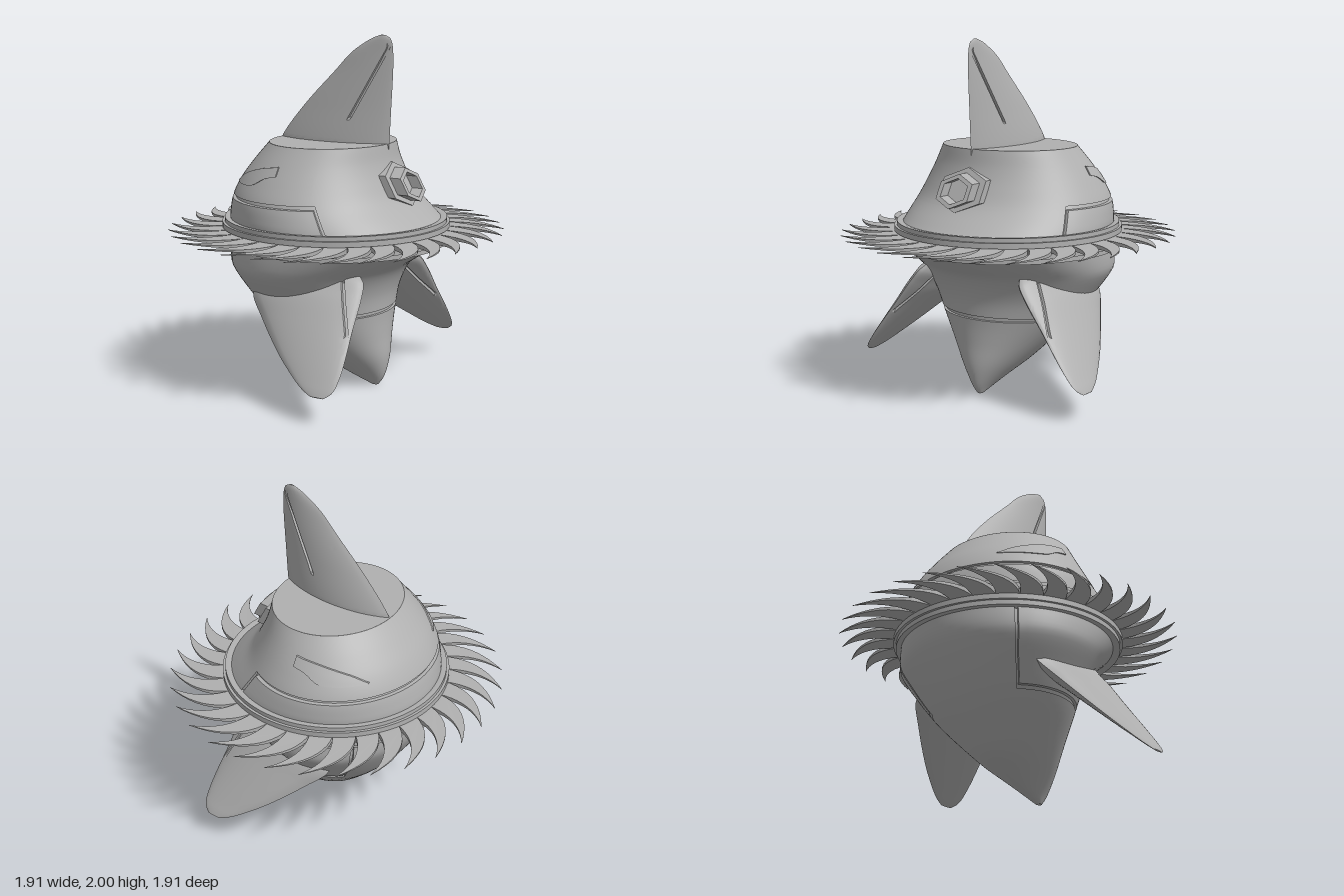
import * as THREE from 'three';
import { toCreasedNormals } from 'three/addons/utils/BufferGeometryUtils.js';

const metal = new THREE.MeshStandardMaterial({ color: 0xb0b0b0 });
metal.name = 'plain grey';

const clamp = THREE.MathUtils.clamp;
const lerp = THREE.MathUtils.lerp;

// Smooth lookup in a table whose first column is the key
function lookup(table, key, col) {
  const n = table.length;
  const k = clamp(key, table[0][0], table[n - 1][0]);
  let i = 0;
  while (i < n - 2 && k > table[i + 1][0]) i++;
  const slope = (j) => {
    const a = table[Math.max(j - 1, 0)], b = table[Math.min(j + 1, n - 1)];
    return (b[col] - a[col]) / (b[0] - a[0]);
  };
  const p = table[i], q = table[i + 1], h = q[0] - p[0], t = (k - p[0]) / h;
  const t2 = t * t, t3 = t2 * t;
  return (2 * t3 - 3 * t2 + 1) * p[col] + (t3 - 2 * t2 + t) * h * slope(i) +
    (3 * t2 - 2 * t3) * q[col] + (t3 - t2) * h * slope(i + 1);
}

// Skin over closed rings of [x, y, z], with both ends closed to a point
function loft(rings, crease = 0.6) {
  const middle = (r) => {
    const c = [0, 1, 2].map((k) => r.reduce((s, p) => s + p[k], 0) / r.length);
    return r.map(() => c);
  };
  const all = [middle(rings[0]), ...rings, middle(rings[rings.length - 1])];
  const n = rings[0].length, index = [];
  for (let i = 0; i < all.length - 1; i++) {
    for (let j = 0; j < n; j++) {
      const a = i * n + j, c = i * n + (j + 1) % n;
      if (i > 0) index.push(a, a + n, c);
      if (i < all.length - 2) index.push(c, a + n, c + n);
    }
  }
  const g = new THREE.BufferGeometry();
  g.setAttribute('position', new THREE.Float32BufferAttribute(all.flat(2), 3));
  g.setIndex(index);
  return toCreasedNormals(g, crease);
}

function part(parent, name, geometry) {
  const m = new THREE.Mesh(geometry, metal);
  m.name = name;
  parent.add(m);
  return m;
}

// Hull sections: height, least x, greatest x, half depth
const UPPER = [[0.95, -0.605, 0.62, 0.605], [1.0, -0.6, 0.56, 0.6], [1.1, -0.575, 0.45, 0.575],
  [1.2, -0.525, 0.39, 0.525], [1.3, -0.45, 0.35, 0.465], [1.4, -0.365, 0.33, 0.4]];
const LOWER = [[0, 0.24, 0.28, 0.015], [0.04, 0.13, 0.31, 0.045], [0.1, 0, 0.33, 0.1],
  [0.18, -0.15, 0.34, 0.18], [0.3, -0.28, 0.335, 0.29], [0.43, -0.4, 0.335, 0.4],
  [0.57, -0.5, 0.35, 0.495], [0.7, -0.575, 0.41, 0.585], [0.76, -0.595, 0.49, 0.6],
  [0.85, -0.605, 0.61, 0.605]];

function section(table, y) {
  const l = lookup(table, y, 1), r = lookup(table, y, 2);
  return { cx: (l + r) / 2, rx: (r - l) / 2, rz: lookup(table, y, 3) };
}

// Hull half with an engraved seam: a level run at seamY joined by a slanted run on each side
function hull(table, seamY, seamPath, towardBack) {
  const y0 = table[0][0], y1 = table[table.length - 1][0], ys = [];
  for (let i = 0; i <= 36; i++) {
    const y = lerp(y0, y1, i / 36);
    if (Math.abs(y - seamY) > 0.012) ys.push(y);
  }
  ys.push(seamY - 0.011, seamY - 0.009, seamY + 0.009, seamY + 0.011);
  ys.sort((a, b) => a - b);
  const rings = ys.map((y) => {
    const s = section(table, y);
    const gy = towardBack ? Math.min(y, seamY) : Math.max(y, seamY);
    const gs = section(table, gy);
    const g = Math.acos(clamp((lookup(seamPath, gy, 1) - gs.cx) / gs.rx, -0.98, 0.98));
    const inRow = Math.abs(y - seamY) < 0.01;
    const slanted = towardBack ? y < seamY + 0.01 : y > seamY - 0.01;
    const half = [];
    for (let k = 0; k < 28; k++) half.push([lerp(0, g - 0.016, k / 28), inRow && !towardBack]);
    half.push([g - 0.016, inRow && !towardBack], [g - 0.013, slanted], [g + 0.013, slanted]);
    for (let k = 0; k <= 28; k++) half.push([lerp(g + 0.016, Math.PI, k / 28), inRow && towardBack]);
    const mirror = half.slice(1, -1).reverse().map(([a, d]) => [-a, d]);
    return [...half, ...mirror].map(([a, deep]) => {
      const f = deep ? 0.965 : 1;
      return [s.cx + f * s.rx * Math.cos(a), y, f * s.rz * Math.sin(a)];
    });
  });
  return loft(rings, 0.5);
}

// Lens-section fin along +y; rows: height, leading x, trailing x, half thickness.
// groove: [height, x, height, x] engraved on both faces
function fin(rows, groove, power) {
  const [s0, x0, s1, x1] = groove, rings = [];
  const a = rows[0][0], b = rows[rows.length - 1][0];
  for (let i = 0; i <= 44; i++) {
    const s = lerp(a, b, i / 44);
    const [L, T, H] = [1, 2, 3].map((c) => lookup(rows, s, c));
    const w = Math.min(0.01, (T - L) * 0.06);
    const g = clamp(lerp(x0, x1, (s - s0) / (s1 - s0)), L + 2 * w, T - 2 * w);
    const on = s >= s0 && s <= s1;
    const side = [];
    for (let k = 0; k < 10; k++) side.push([lerp(T, g + w, k / 10), false]);
    side.push([g + w, false], [g + w * 0.75, on], [g - w * 0.75, on]);
    for (let k = 0; k <= 16; k++) side.push([lerp(g - w, L, k / 16), false]);
    const face = side.map(([x, deep]) => {
      const f = clamp((x - L) / (T - L), 0, 1);
      const h = H * Math.pow(4 * f * (1 - f), power);
      return [x, s, deep ? Math.max(h * 0.4, h - 0.014) : h];
    });
    rings.push([...face, ...face.slice(1, -1).reverse().map(([x, y, z]) => [x, y, -z])]);
  }
  return loft(rings, 0.5);
}

// Thin plate following the upper hull between two curves
function eyePlate() {
  const top = [[-0.45, 1.186], [-0.37, 1.232], [-0.23, 1.277], [-0.09, 1.3]];
  const low = [[-0.45, 1.18], [-0.255, 1.19], [-0.165, 1.233], [-0.09, 1.25]];
  const rings = [];
  const steps = 18;
  for (let i = -1; i <= steps + 1; i++) {
    const x = lerp(-0.45, -0.09, clamp(i / steps, 0, 1));
    const yl = lookup(low, x, 1), yt = lookup(top, x, 1), out = i < 0 || i > steps ? -0.02 : 0.009;
    rings.push([[0, -0.02], [0, out], [0.33, out], [0.67, out], [1, out], [1, -0.02]].map(([v, off]) => {
      const y = lerp(yl, yt, v), s = section(UPPER, y);
      return [x, y, s.rz * Math.sqrt(1 - ((x - s.cx) / s.rx) ** 2) + off];
    }));
  }
  return loft(rings, 0.5);
}

// Hexagon facing +x, sheared to the slope of the hull
function hexBlock(rz, ry, front, depth, hole) {
  const hex = (k, Kind) => new Kind([0, 1, 2, 3, 4, 5].map((i) => {
    const a = Math.PI / 2 + i * Math.PI / 3;
    return new THREE.Vector2(k * rz * Math.cos(a) / 0.866, k * ry * Math.sin(a));
  }));
  const shape = hex(1, THREE.Shape);
  if (hole) shape.holes.push(hex(hole, THREE.Path));
  const g = new THREE.ExtrudeGeometry(shape, { depth, bevelEnabled: false });
  g.rotateY(Math.PI / 2);
  const p = g.attributes.position;
  for (let i = 0; i < p.count; i++) p.setX(i, p.getX(i) + front - depth - 0.55 * p.getY(i));
  g.translate(0, 1.185, 0);
  g.computeVertexNormals();
  return g;
}

// Curved blade tooth, thinning to its tip
function toothGeometry() {
  const at = (deg, r) => {
    const a = deg * Math.PI / 180;
    return [r * Math.sin(a), r * Math.cos(a)];
  };
  const s = new THREE.Shape();
  s.moveTo(...at(-24, 0.63));
  s.quadraticCurveTo(...at(-21, 0.85), ...at(-2.4, 0.957));
  s.quadraticCurveTo(...at(-13.5, 0.83), ...at(-12.5, 0.63));
  const g = new THREE.ExtrudeGeometry(s, { depth: 1, bevelEnabled: false, curveSegments: 10 });
  g.translate(0, 0, -0.5);
  g.rotateX(-Math.PI / 2);
  const p = g.attributes.position;
  for (let i = 0; i < p.count; i++) {
    const r = Math.hypot(p.getX(i), p.getZ(i));
    p.setY(i, p.getY(i) * (0.003 + 0.024 * clamp((0.957 - r) / 0.3, 0, 1)));
  }
  g.computeVertexNormals();
  return g;
}

export function createModel() {
  const model = new THREE.Group();
  model.name = 'finned spinning top';

  // Hull
  part(model, 'lowerHull', hull(LOWER, 0.455, [[0.455, -0.29], [0.7, -0.42], [0.85, -0.43]], false));
  const shell = part(model, 'upperHull', hull([...UPPER.slice(0, -1), UPPER[5]], 1.1, [[0.95, 0.25], [1.1, 0.16]], true));
  // Open the upper end so that the slotted deck shows
  const pos = shell.geometry.attributes.position;
  for (let i = 0; i < pos.count; i++) {
    if (pos.getY(i) > 1.399 && Math.hypot(pos.getX(i) + 0.0175, pos.getZ(i)) < 0.01) pos.setY(i, 1.3);
  }

  // Deck with a lens-shaped slot for the top fin
  const deck = new THREE.Shape().absellipse(-0.0175, 0, 0.3475, 0.4, 0, Math.PI * 2);
  const slot = new THREE.Path();
  slot.moveTo(-0.33, 0);
  slot.quadraticCurveTo(0, 0.23, 0.31, 0);
  slot.quadraticCurveTo(0, -0.23, -0.33, 0);
  deck.holes.push(slot);
  const deckGeometry = new THREE.ExtrudeGeometry(deck, { depth: 0.03, bevelEnabled: false, curveSegments: 48 });
  part(model, 'deck', deckGeometry.rotateX(-Math.PI / 2).translate(0, 1.3705, 0));
  const floor = new THREE.CircleGeometry(1, 48).scale(0.34, 0.39, 1);
  part(model, 'slotFloor', floor.rotateX(-Math.PI / 2).translate(-0.0175, 1.372, 0));

  // Fins
  const topFin = part(model, 'topFin', fin([[-0.05, -0.36, 0.335, 0.078], [0.01, -0.355, 0.34, 0.08],
    [0.2, -0.2, 0.35, 0.057], [0.4, 0, 0.36, 0.032], [0.5, 0.1, 0.36, 0.02], [0.56, 0.19, 0.352, 0.013],
    [0.59, 0.25, 0.335, 0.008], [0.6, 0.285, 0.31, 0.004]], [0.14, 0.12, 0.55, 0.345], 0.85));
  topFin.position.y = 1.4;
  const sideFin = fin([[-0.07, 0.12, 0.34, 0.03], [-0.03, -0.1, 0.375, 0.06], [0.05, -0.24, 0.39, 0.07],
    [0.113, -0.28, 0.395, 0.073], [0.24, -0.18, 0.4, 0.058], [0.44, 0.01, 0.415, 0.032],
    [0.56, 0.15, 0.412, 0.016], [0.61, 0.22, 0.395, 0.01], [0.64, 0.28, 0.36, 0.004]],
  [-0.02, 0.27, 0.3, 0.39], 0.6);
  for (const side of [1, -1]) {
    const f = part(model, side > 0 ? 'frontSideFin' : 'backSideFin', sideFin);
    f.position.set(0, 0.66, 0.375 * side);
    f.rotation.x = 2.484 * side;
  }

  // Eyes
  const eye = eyePlate();
  part(model, 'frontEye', eye);
  part(model, 'backEye', eye).scale.z = -1;

  // Hexagonal port
  part(model, 'portBase', hexBlock(0.146, 0.118, 0.425, 0.12, 0));
  part(model, 'portRing', hexBlock(0.108, 0.09, 0.49, 0.12, 0.75));

  // Stepped belt
  const belt = [[0.58, 0.83], [0.635, 0.83], [0.635, 0.857], [0.65, 0.857], [0.65, 0.886], [0.63, 0.89],
    [0.63, 0.914], [0.65, 0.918], [0.65, 0.948], [0.635, 0.948], [0.635, 0.972], [0.615, 0.972], [0.58, 0.965]];
  part(model, 'belt', toCreasedNormals(
    new THREE.LatheGeometry(belt.map(([r, y]) => new THREE.Vector2(r, y)), 96), 0.5));

  // Ring of blades
  const blades = new THREE.Group();
  blades.name = 'bladeRing';
  blades.position.y = 0.902;
  model.add(blades);
  const tooth = toothGeometry();
  for (let i = 0; i < 32; i++) part(blades, 'blade', tooth).rotation.y = i * Math.PI / 16;

  return model;
}
